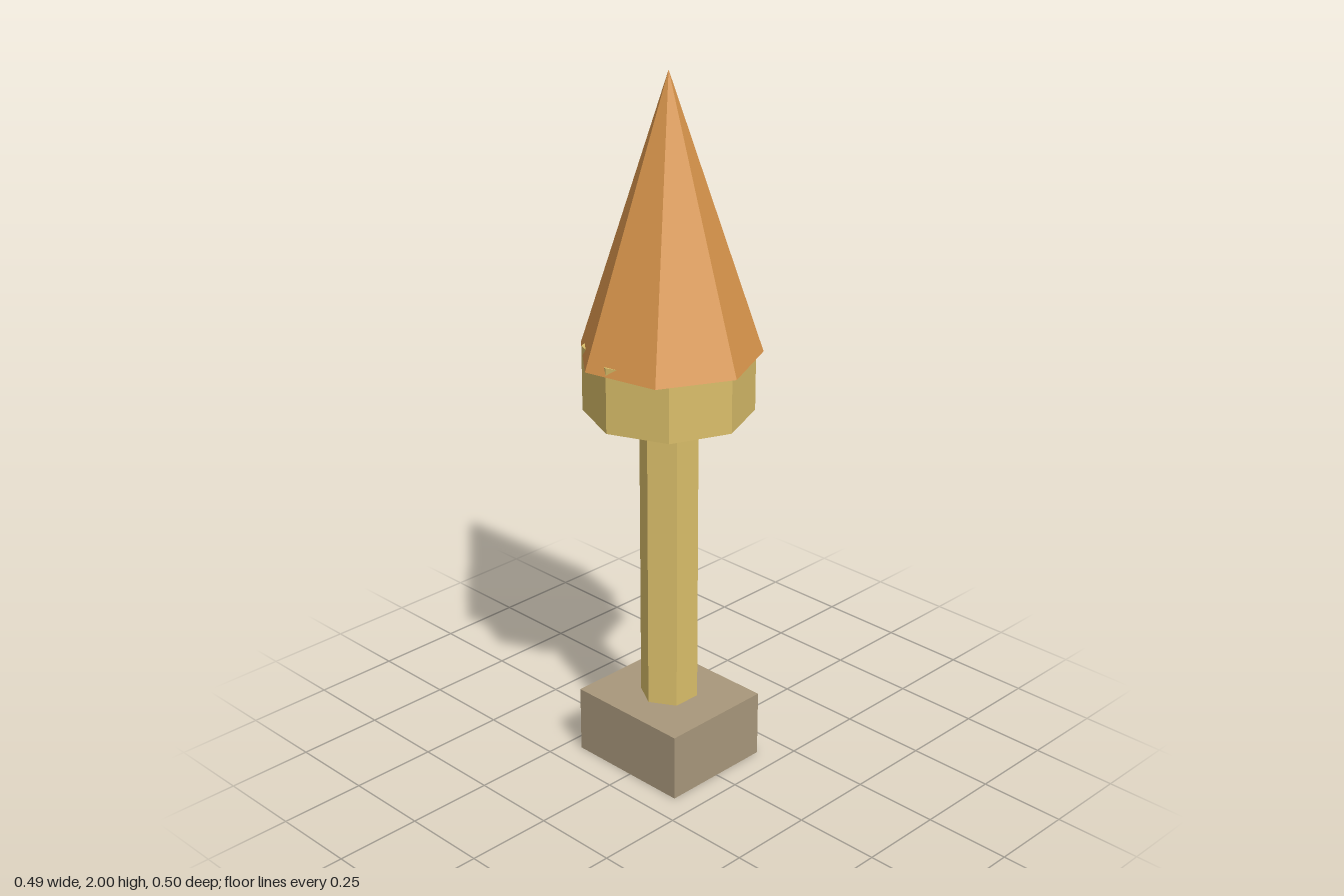
import * as THREE from 'three';

export function createModel() {
  const model = new THREE.Group();
  model.name = 'postWithPointedRoof';

  const material = (name, color) => {
    const m = new THREE.MeshStandardMaterial({ color, flatShading: true });
    m.name = name;
    return m;
  };
  const stone = material('stone', 0xa8977b);
  const paleWood = material('paleWood', 0xdabe6a);
  const orangeRoof = material('orangeRoof', 0xda964c);

  // All parts share one slightly offset vertical axis
  const axisX = -0.012;
  const add = (name, geometry, mat, bottom, height, turn = 0) => {
    const mesh = new THREE.Mesh(geometry, mat);
    mesh.name = name;
    mesh.position.set(axisX, bottom + height / 2, 0);
    mesh.rotation.y = turn;
    model.add(mesh);
  };

  // Square foot
  add('base', new THREE.BoxGeometry(0.38, 0.195, 0.34), stone, 0, 0.195);
  // Six-sided post
  add('post', new THREE.CylinderGeometry(0.083, 0.083, 0.885, 6), paleWood, 0.19, 0.885);
  // Eight-sided collar, its corners just piercing the roof
  add('collar', new THREE.CylinderGeometry(0.233, 0.233, 0.185, 8), paleWood, 1.07, 0.185);
  // Seven-sided pointed roof
  add('roof', new THREE.ConeGeometry(0.255, 0.77, 7), orangeRoof, 1.23, 0.77, -0.252);

  return model;
}
